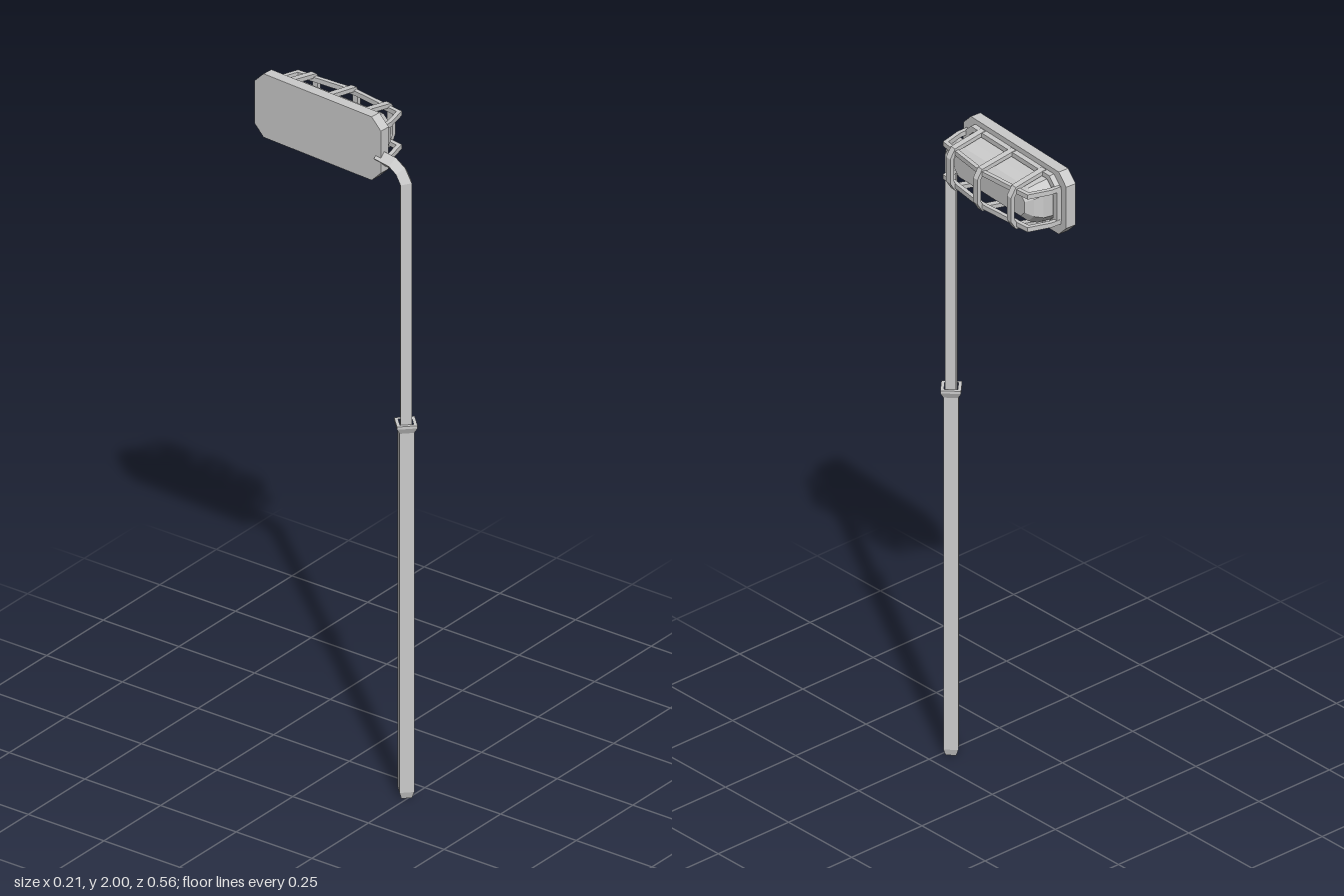
import * as THREE from 'three';

const material = new THREE.MeshStandardMaterial({ color: 0xcccccc, flatShading: true });
const V = (x, y, z) => new THREE.Vector3(x, y, z);

function mesh(name, geometry) {
  const m = new THREE.Mesh(geometry, material);
  m.name = name;
  return m;
}

// Joins a list of equal-length rings into a closed, capped solid
function skin(rings) {
  const pos = [];
  const tri = (...pts) => pts.forEach(p => pos.push(p.x, p.y, p.z));
  const n = rings[0].length;
  for (let k = 0; k < rings.length - 1; k++) {
    for (let i = 0; i < n; i++) {
      const j = (i + 1) % n;
      const [a, b, c, d] = [rings[k][i], rings[k][j], rings[k + 1][j], rings[k + 1][i]];
      tri(a, b, c);
      tri(a, c, d);
    }
  }
  const first = rings[0], last = rings[rings.length - 1];
  for (let i = 1; i < n - 1; i++) {
    tri(first[0], first[i + 1], first[i]);
    tri(last[0], last[i], last[i + 1]);
  }
  const g = new THREE.BufferGeometry();
  g.setAttribute('position', new THREE.Float32BufferAttribute(pos, 3));
  g.computeVertexNormals();
  return g;
}

// Sweeps a section along a planar path with mitred corners
function sweep(path, normal, section) {
  return skin(path.map((p, i) => {
    const before = p.clone().sub(path[Math.max(i - 1, 0)]).normalize();
    const after = path[Math.min(i + 1, path.length - 1)].clone().sub(p).normalize();
    const t = before.clone().add(after).normalize();
    const stretch = 1 / t.dot(i ? before : after);
    const side = t.clone().cross(normal);
    return section.map(([u, v]) =>
      p.clone().addScaledVector(normal, u).addScaledVector(side, v * stretch));
  }));
}

// Rectangle with cut corners as [y, z] pairs
function cutRect(h, w, c) {
  return [[h, -w + c], [h, w - c], [h - c, w], [-h + c, w],
    [-h, w - c], [-h, -w + c], [-h + c, -w], [h - c, -w]];
}

// Stack of cut rectangles along x: [x, half height, half length, corner cut]
const loft = levels => skin(levels.map(([x, h, w, c]) => cutRect(h, w, c).map(([y, z]) => V(x, y, z))));

const bar = (w, t) => [[w, -t], [w, t], [-w, t], [-w, -t]];
const diamond = r => [[r, 0], [0, r], [-r, 0], [0, -r]];

function createLamp() {
  const lamp = new THREE.Group();
  lamp.name = 'lampHead';

  // Back plate
  lamp.add(mesh('backPlate', loft([[0, 0.095, 0.22, 0.032], [0.032, 0.095, 0.22, 0.032]])));

  // Raised frame around the glass
  const toPoints = list => list.map(([y, z]) => new THREE.Vector2(-z, y));
  const outline = new THREE.Shape(toPoints(cutRect(0.08, 0.2, 0.032)));
  outline.holes.push(new THREE.Path(toPoints(cutRect(0.066, 0.184, 0.026))));
  const frame = new THREE.ExtrudeGeometry(outline, { depth: 0.016, bevelEnabled: false });
  frame.rotateY(Math.PI / 2);
  frame.translate(0.032, 0, 0);
  lamp.add(mesh('cageFrame', frame));

  // Glass cover
  lamp.add(mesh('glassCover', loft([
    [0.03, 0.064, 0.18, 0.026],
    [0.075, 0.06, 0.178, 0.026],
    [0.1, 0.05, 0.168, 0.024],
    [0.117, 0.034, 0.15, 0.018]
  ])));

  // Cross hoops, the middle one reaching furthest
  for (const [z, reach] of [[-0.13, 0.148], [0, 0.159], [0.13, 0.148]]) {
    const half = [[0.035, 0.077], [reach - 0.014, 0.058], [reach, 0.035]];
    const path = [...half.map(([x, y]) => V(x, y, z)),
      ...half.slice().reverse().map(([x, y]) => V(x, -y, z))];
    lamp.add(mesh('cageHoop', sweep(path, V(0, 0, 1), bar(0.009, 0.006))));
  }

  // Lengthwise cage bars
  for (const y of [-0.05, 0.05]) {
    const half = [[0.035, 0.195], [0.066, 0.194], [0.126, 0.176]];
    const path = [...half.map(([x, z]) => V(x, y, z)), V(0.144, y, 0),
      ...half.slice().reverse().map(([x, z]) => V(x, y, -z))];
    lamp.add(mesh('cageBar', sweep(path, V(0, 1, 0), bar(0.007, 0.006))));
  }

  lamp.position.set(-0.06, 1.905, -0.06);
  lamp.rotation.y = -0.064;
  return lamp;
}

export function createModel() {
  const model = new THREE.Group();
  model.name = 'streetLamp';

  const pole = new THREE.Group();
  pole.name = 'pole';
  pole.position.set(-0.067, 0, 0.237);
  pole.rotation.y = -0.09;

  // Square lower tube with a flared collar, open at the top
  const profile = [[0, 0], [0.02, 0], [0.028, 0.02], [0.028, 1.095], [0.039, 1.112], [0.039, 1.12], [0.026, 1.12]];
  const lower = mesh('lowerPole', new THREE.LatheGeometry(profile.map(p => new THREE.Vector2(...p)), 4));
  lower.rotation.y = 0.09;
  pole.add(lower);

  // Slim upper tube bending over to the lamp
  const path = [V(0, 1.08, 0), V(0, 1.835, 0), V(0, 1.862, -0.017), V(0, 1.877, -0.042), V(0, 1.882, -0.095)];
  pole.add(mesh('upperPole', sweep(path, V(1, 0, 0), diamond(0.021))));

  model.add(pole, createLamp());
  return model;
}
